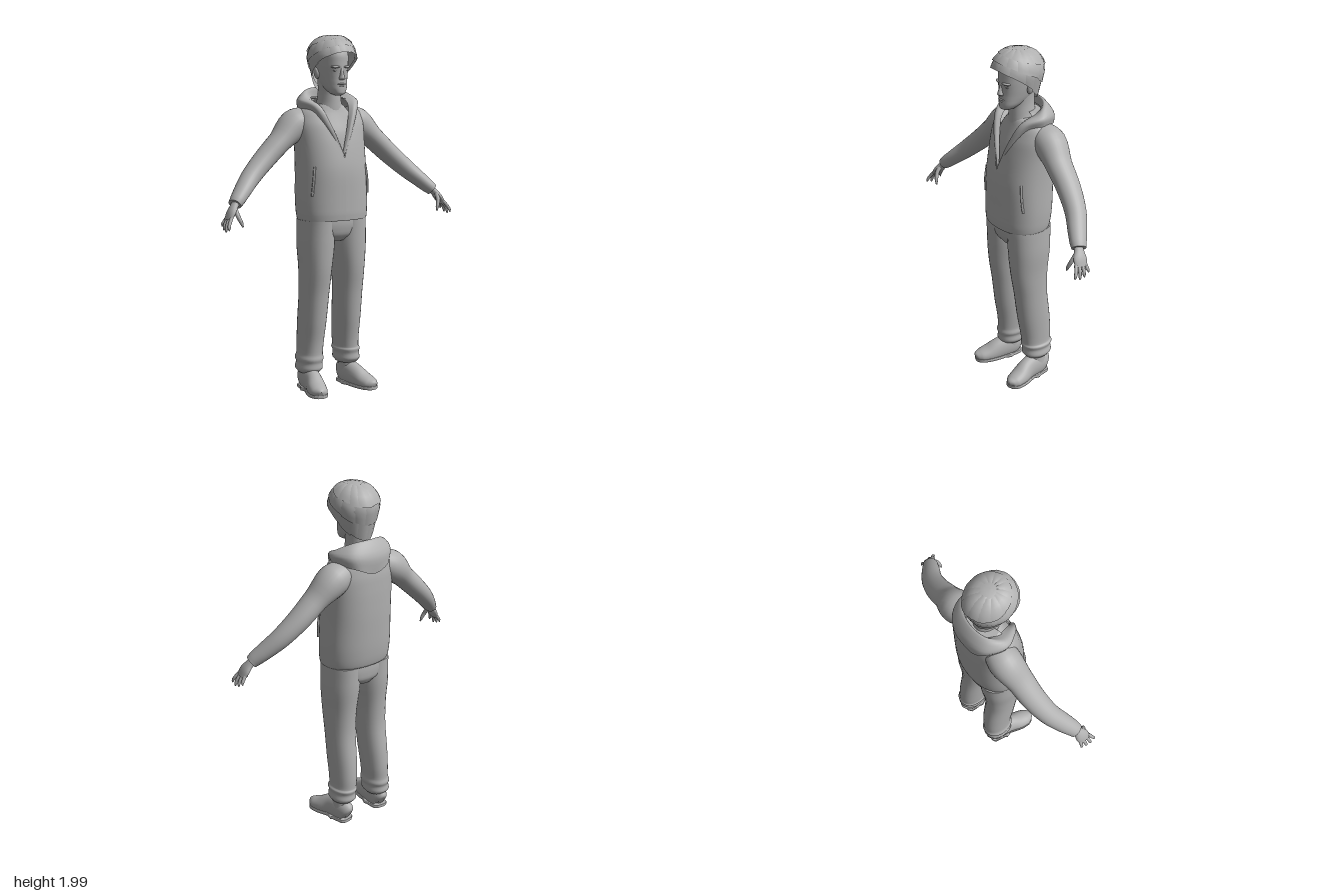
import * as THREE from 'three';

const V = (x, y, z) => new THREE.Vector3(x, y, z);
const grey = new THREE.MeshStandardMaterial({ color: 0xb0b0b0, side: THREE.DoubleSide });
grey.name = 'plain grey';

// Smooth surface through a grid of points; rows is an array of point rows
function skin(rows, closed) {
  const n = rows[0].length, index = [], last = closed ? n : n - 1;
  for (let j = 0; j < rows.length - 1; j++) for (let i = 0; i < last; i++) {
    const a = j * n + i, b = j * n + (i + 1) % n;
    index.push(a, b, a + n, b, b + n, a + n);
  }
  const g = new THREE.BufferGeometry().setFromPoints(rows.flat());
  g.setIndex(index);
  g.computeVertexNormals();
  return g;
}

// Capped tube through stations [x, y, z, side radius, ref radius]; ref is the ring's reference axis
function loft(stations, { ref = V(0, 0, 1), upright = true, power = 2, sides = 28, steps = 4, gap } = {}) {
  const path = new THREE.CatmullRomCurve3(stations.map(s => V(s[0], s[1], s[2])));
  const size = new THREE.CatmullRomCurve3(stations.map(s => V(s[3], s[4], 0)));
  const N = (stations.length - 1) * steps, rows = [];
  const bend = v => Math.sign(v) * Math.abs(v) ** (2 / power);
  for (let j = 0; j <= N; j++) {
    const c = path.getPoint(j / N), r = size.getPoint(j / N);
    const T = upright ? V(0, 1, 0) : path.getTangent(j / N);
    const B = ref.clone().addScaledVector(T, -ref.dot(T)).normalize();
    const S = T.clone().cross(B);
    const g = gap ? gap(c.y, r.x) : 0, row = [];
    for (let i = 0; i < sides; i++) {
      const a = gap ? g + (i / (sides - 1)) * (Math.PI * 2 - 2 * g) : (i / sides) * Math.PI * 2;
      row.push(c.clone().addScaledVector(S, r.x * bend(Math.sin(a))).addScaledVector(B, r.y * bend(Math.cos(a))));
    }
    const middle = row.map(() => c.clone());
    if (j === 0) rows.push(middle, row.map(p => p.clone()));
    rows.push(row);
    if (j === N) rows.push(row.map(p => p.clone()), middle);
  }
  return skin(rows, !gap);
}

function add(parent, name, geometry) {
  const mesh = new THREE.Mesh(geometry, grey);
  mesh.name = name;
  parent.add(mesh);
  return mesh;
}

function blob(parent, name, x, y, z, rx, ry, rz) {
  const m = add(parent, name, new THREE.SphereGeometry(1, 16, 12));
  m.position.set(x, y, z);
  m.scale.set(rx, ry, rz);
  return m;
}

// Limit heights, giving flat soles
function clampY(g, lo, hi) {
  const p = g.attributes.position;
  for (let i = 0; i < p.count; i++) p.setY(i, Math.min(hi, Math.max(lo, p.getY(i))));
  g.computeVertexNormals();
  return g;
}

function makeTorso(group) {
  const body = [
    [0, 0.985, 0.01, 0.19, 0.135], [0, 0.98, 0.005, 0.2, 0.15], [0, 1.02, 0, 0.206, 0.158],
    [0, 1.1, -0.005, 0.208, 0.162], [0, 1.25, -0.01, 0.204, 0.164], [0, 1.4, -0.023, 0.204, 0.152],
    [0, 1.5, -0.035, 0.208, 0.136], [0, 1.57, -0.045, 0.192, 0.115], [0, 1.62, -0.05, 0.145, 0.09],
    [0, 1.645, -0.05, 0.1, 0.07]];
  const open = (y, rx) => Math.asin(Math.min(0.9, Math.max(0, (y - 1.34) * 0.42 / rx)));
  add(group, 'jacket', loft(body, { power: 2.25, sides: 49, gap: open }));
  add(group, 'shirt', loft([[0, 1.3, -0.02, 0.18, 0.138], [0, 1.45, -0.03, 0.18, 0.127],
    [0, 1.55, -0.04, 0.14, 0.1], [0, 1.6, -0.04, 0.095, 0.085], [0, 1.615, -0.04, 0.075, 0.08]]));

  // Hood and lapels: a skin through mirrored edge curves
  const edges = [
    [[0, 1.36, 0.125], [0.05, 1.5, 0.085], [0.085, 1.6, 0.04], [0.1, 1.64, -0.04], [0.07, 1.65, -0.1], [0, 1.65, -0.12]],
    [[0, 1.34, 0.138], [0.062, 1.5, 0.108], [0.112, 1.61, 0.06], [0.15, 1.655, -0.03], [0.1, 1.695, -0.1], [0, 1.705, -0.125]],
    [[0.004, 1.34, 0.138], [0.085, 1.5, 0.1], [0.14, 1.605, 0.05], [0.183, 1.635, -0.04], [0.13, 1.635, -0.145], [0, 1.625, -0.18]],
    [[0.004, 1.33, 0.125], [0.09, 1.5, 0.085], [0.14, 1.58, 0.035], [0.175, 1.59, -0.05], [0.105, 1.565, -0.165], [0, 1.53, -0.18]]];
  const lines = edges.map(e => new THREE.CatmullRomCurve3(
    [...e, ...e.slice(0, -1).reverse().map(p => [-p[0], p[1], p[2]])].map(p => V(...p))).getPoints(60));
  const rows = [];
  const across = lines[0].map((_, i) => new THREE.CatmullRomCurve3(lines.map(l => l[i])).getPoints(12));
  for (let j = 0; j <= 12; j++) rows.push(across.map(c => c[j]));
  add(group, 'hood', skin(rows, false));

  add(group, 'trouserSeat', loft([[0, 0.86, -0.01, 0.07, 0.1], [0, 0.9, -0.008, 0.165, 0.125],
    [0, 0.96, -0.005, 0.19, 0.132], [0, 1.02, -0.005, 0.185, 0.13]], { power: 2.3 }));
}

function makeArm(group) {
  const along = { upright: false };
  add(group, 'sleeve', loft([
    [0.13, 1.535, -0.06, 0.07, 0.08], [0.2, 1.5, -0.065, 0.088, 0.092], [0.3, 1.415, -0.05, 0.063, 0.075],
    [0.4, 1.325, -0.038, 0.058, 0.068], [0.5, 1.235, -0.008, 0.052, 0.059], [0.58, 1.16, 0.04, 0.043, 0.052],
    [0.62, 1.122, 0.066, 0.038, 0.045], [0.638, 1.105, 0.075, 0.033, 0.04]], along));
  add(group, 'palm', loft([[0.615, 1.13, 0.065, 0.02, 0.026], [0.645, 1.095, 0.08, 0.019, 0.028],
    [0.67, 1.06, 0.092, 0.018, 0.04], [0.69, 1.025, 0.1, 0.012, 0.036]], { ...along, sides: 16 }));
  for (let i = 0; i < 4; i++) {
    const z = 0.07 + i * 0.019, d = [0.022, 0.006, 0, 0.01][i], spread = (i - 1.5) * 0.006;
    add(group, 'finger', loft([[0.682, 1.04, z, 0.009, 0.01], [0.702, 1.01, z + 0.006 + spread, 0.009, 0.0095],
      [0.712 - d * 0.3, 0.982 + d, z + 0.01 + spread * 1.6, 0.008, 0.008],
      [0.713 - d * 0.3, 0.968 + d, z + 0.01 + spread * 2, 0.003, 0.003]], { ...along, sides: 10 }));
  }
  add(group, 'thumb', loft([[0.65, 1.085, 0.1, 0.014, 0.014], [0.645, 1.05, 0.125, 0.012, 0.012],
    [0.632, 1.015, 0.138, 0.01, 0.01], [0.624, 0.99, 0.143, 0.004, 0.004]], { ...along, sides: 10 }));
  // Pocket welt
  add(group, 'pocket', new THREE.TubeGeometry(new THREE.CatmullRomCurve3(
    [V(0.162, 1.28, 0.095), V(0.172, 1.2, 0.1), V(0.178, 1.12, 0.094)]), 10, 0.007, 6));
}

function makeLeg(group, lift) {
  add(group, 'trouserLeg', loft([
    [0.1, 0.98, -0.003, 0.096, 0.13], [0.102, 0.85, -0.003, 0.098, 0.126], [0.107, 0.7, 0, 0.085, 0.113],
    [0.11, 0.55, -0.01, 0.078, 0.1], [0.113, 0.4, -0.028, 0.074, 0.1], [0.116, 0.28, -0.042, 0.069, 0.094],
    [0.119, 0.21 + lift * 0.5, -0.044, 0.067, 0.09], [0.121, 0.18 + lift, -0.045, 0.075, 0.095],
    [0.122, 0.155 + lift, -0.044, 0.068, 0.088], [0.124, 0.125 + lift, -0.045, 0.073, 0.09],
    [0.125, 0.1 + lift, -0.045, 0.058, 0.07]].reverse(), { power: 2.15 }));
  add(group, 'ankle', loft([[0.13, 0.06, -0.04, 0.05, 0.06], [0.128, 0.12, -0.04, 0.047, 0.058],
    [0.125, 0.2, -0.045, 0.045, 0.055]]));
  const foot = [
    [0.125, 0.045, -0.105, 0.02, 0.035], [0.127, 0.055, -0.09, 0.043, 0.065], [0.131, 0.06, -0.03, 0.051, 0.08],
    [0.14, 0.05, 0.04, 0.051, 0.07], [0.156, 0.035, 0.1, 0.055, 0.052], [0.168, 0.028, 0.15, 0.049, 0.038],
    [0.174, 0.024, 0.175, 0.032, 0.03], [0.177, 0.02, 0.185, 0.012, 0.02]];
  const opts = { ref: V(0, 1, 0), upright: false };
  add(group, 'shoe', clampY(loft(foot, opts), 0.004, 1));
  add(group, 'sole', clampY(loft(foot.map(s => [s[0], 0.01, s[2], s[3] + 0.003, 0.04]), opts), 0, 0.018));
}

function makeHead(group) {
  add(group, 'neck', loft([[0, 1.58, -0.035, 0.08, 0.085], [0, 1.63, -0.028, 0.066, 0.076],
    [0, 1.69, -0.025, 0.06, 0.072], [0, 1.77, -0.02, 0.065, 0.08]]));
  add(group, 'face', loft([[0, 1.665, 0.072, 0.018, 0.022], [0, 1.675, 0.065, 0.037, 0.046], [0, 1.7, 0.045, 0.055, 0.068],
    [0, 1.735, 0.015, 0.067, 0.097], [0, 1.78, 0, 0.076, 0.111], [0, 1.83, -0.01, 0.082, 0.124],
    [0, 1.88, -0.01, 0.084, 0.122], [0, 1.94, -0.015, 0.07, 0.1], [0, 1.97, -0.015, 0.03, 0.05]], { power: 2.2 }));
  add(group, 'nose', loft([[0, 1.75, 0.108, 0.013, 0.009], [0, 1.757, 0.112, 0.018, 0.019],
    [0, 1.775, 0.11, 0.012, 0.018], [0, 1.805, 0.106, 0.008, 0.011], [0, 1.825, 0.106, 0.008, 0.008]], { sides: 14 }));
  blob(group, 'upperLip', 0, 1.727, 0.108, 0.025, 0.005, 0.01);
  blob(group, 'lowerLip', 0, 1.717, 0.105, 0.021, 0.006, 0.01);
  for (const s of [1, -1]) {
    blob(group, 'brow', s * 0.034, 1.82, 0.1, 0.026, 0.008, 0.014).rotation.y = s * 0.35;
    blob(group, 'eye', s * 0.032, 1.8, 0.097, 0.014, 0.006, 0.008).rotation.y = s * 0.3;
    blob(group, 'ear', s * 0.085, 1.785, -0.02, 0.012, 0.033, 0.02).rotation.z = -s * 0.2;
  }

  // Hair: a cap plus lifted overlapping locks
  let seed = 7;
  const rand = () => (seed = (seed * 16807) % 2147483647) / 2147483647;
  const limit = a => 1.98 - 0.73 * Math.cos(a);
  const onHair = (a, phi, k) => {
    const under = Math.max(0, phi - Math.PI / 2);
    const r = under ? 1 - 0.28 * under : Math.sin(phi) ** 0.85;
    const y = under ? -0.14 * under : 0.128 * Math.cos(phi);
    return V(0.13 * k * r * Math.sin(a), 1.868 + y * Math.min(k, 1.02), 0.146 * k * r * Math.cos(a));
  };
  const cap = [];
  for (let j = 0; j <= 16; j++) {
    const row = [];
    for (let i = 0; i < 40; i++) {
      const a = (i / 40) * Math.PI * 2;
      row.push(onHair(a, limit(a) * (1 - j / 16), 0.97));
    }
    cap.push(row);
  }
  add(group, 'hairCap', skin(cap, true));
  for (let tier = 0; tier < 3; tier++) for (let i = 0; i < 13; i++) {
    const a0 = ((i + tier * 0.5) / 13) * Math.PI * 2, wide = 0.28 + rand() * 0.06;
    const end = [0.5, 0.78, 1.02][tier] + rand() * 0.04, lift = 0.05 + rand() * 0.04, rows = [];
    for (let j = 0; j <= 5; j++) {
      const s = j / 5, row = [];
      for (let k = -2; k <= 2; k++) {
        const a = a0 + k * wide * 0.5;
        row.push(onHair(a, limit(a) * (end - 0.4 * (1 - s)), 0.99 + lift * s - 0.006 * k * k));
      }
      rows.unshift(row);
    }
    add(group, 'hairLock', skin(rows, false));
  }
}

export function createModel() {
  const model = new THREE.Group();
  model.name = 'standingPerson';
  const part = (name, build, mirror, ...args) => {
    const g = new THREE.Group();
    g.name = name;
    build(g, ...args);
    if (mirror) g.scale.x = -1;
    model.add(g);
  };
  part('clothedTorso', makeTorso, false);
  part('head', makeHead, false);
  part('leftArm', makeArm, false);
  part('rightArm', makeArm, true);
  part('leftLeg', makeLeg, false, 0.03);
  part('rightLeg', makeLeg, true, 0);
  return model;
}
